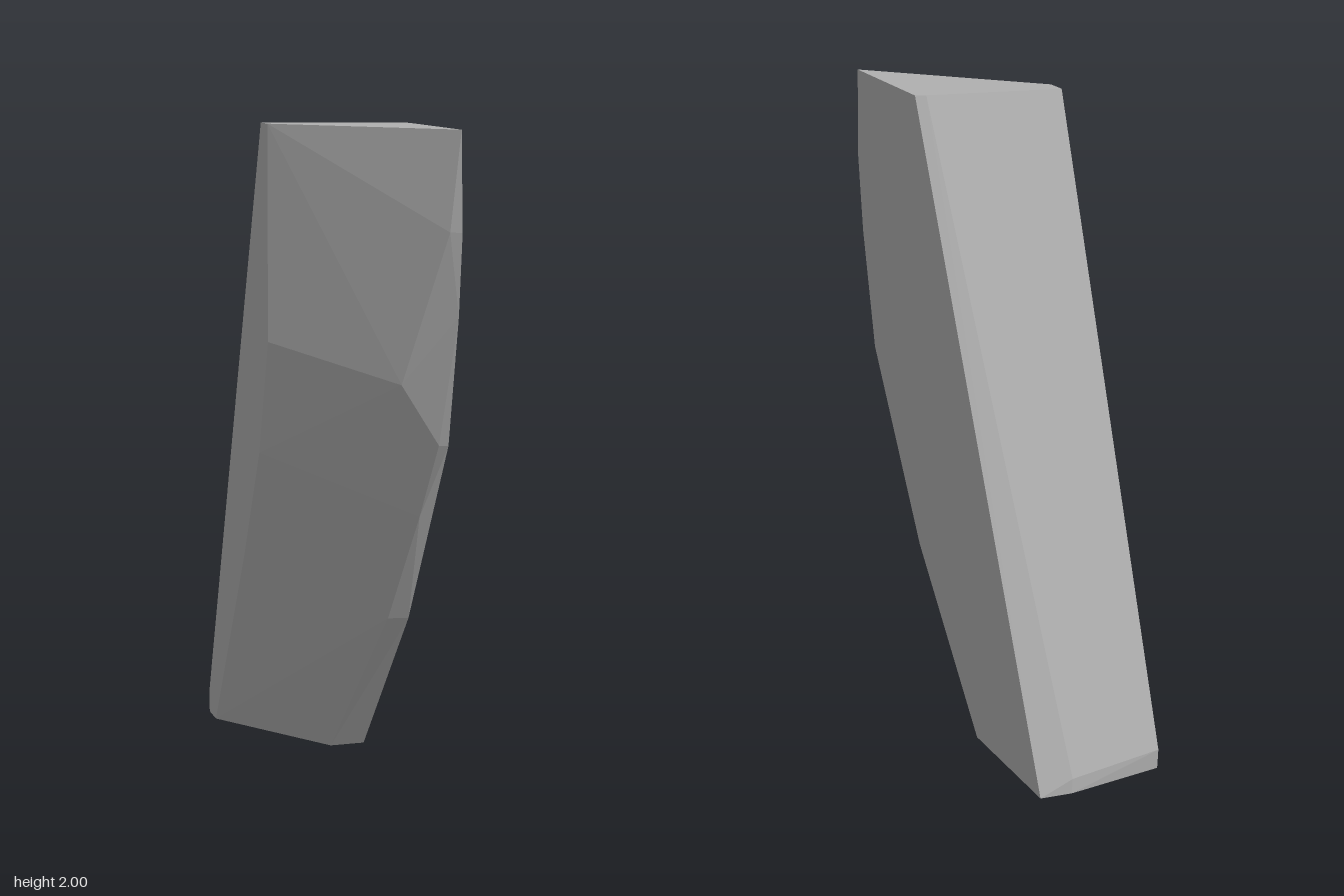
import * as THREE from 'three';
import { ConvexGeometry } from 'three/addons/geometries/ConvexGeometry.js';

export function createModel() {
  const group = new THREE.Group();
  group.name = 'stoneShard';
  const stone = new THREE.MeshStandardMaterial({ color: 0xb0b0b0 });
  const W = 0.193; // half width

  // Profile edges: [y, z] pairs on the two flat sides
  const leftSide = [
    [2, 0.19], [2, 0.53], [1.73, 0.548], [1.5, 0.535],
    [1.13, 0.485], [0.54, 0.23], [0, -0.11], [0, -0.475],
  ];
  const rightSide = [
    [2, 0.03], [2, 0.085], [1.38, 0.077], [1.03, -0.008],
    [0.67, -0.157], [0, -0.475], [0, -0.543], [0.07, -0.545],
  ];
  // Chipped ridges between the sides: [x, y, z]
  const ridges = [
    [0.085, 0, -0.127], [0.135, 0.54, 0.21], [0.155, 0.9, 0.382],
    [0.17, 1.13, 0.472], [0.075, 1.3, 0.425], [0.165, 1.73, 0.53],
    [0.1, 0, -0.505], [0.095, 0.05, -0.502], [0.165, 2, 0.175],
  ];

  // The shard is a faceted convex block around those edges
  const points = [
    ...leftSide.map(([y, z]) => new THREE.Vector3(W, y, z)),
    ...rightSide.map(([y, z]) => new THREE.Vector3(-W, y, z)),
    ...ridges.map((p) => new THREE.Vector3(...p)),
  ];
  const shard = new THREE.Mesh(new ConvexGeometry(points), stone);
  shard.name = 'shard';
  group.add(shard);
  return group;
}
